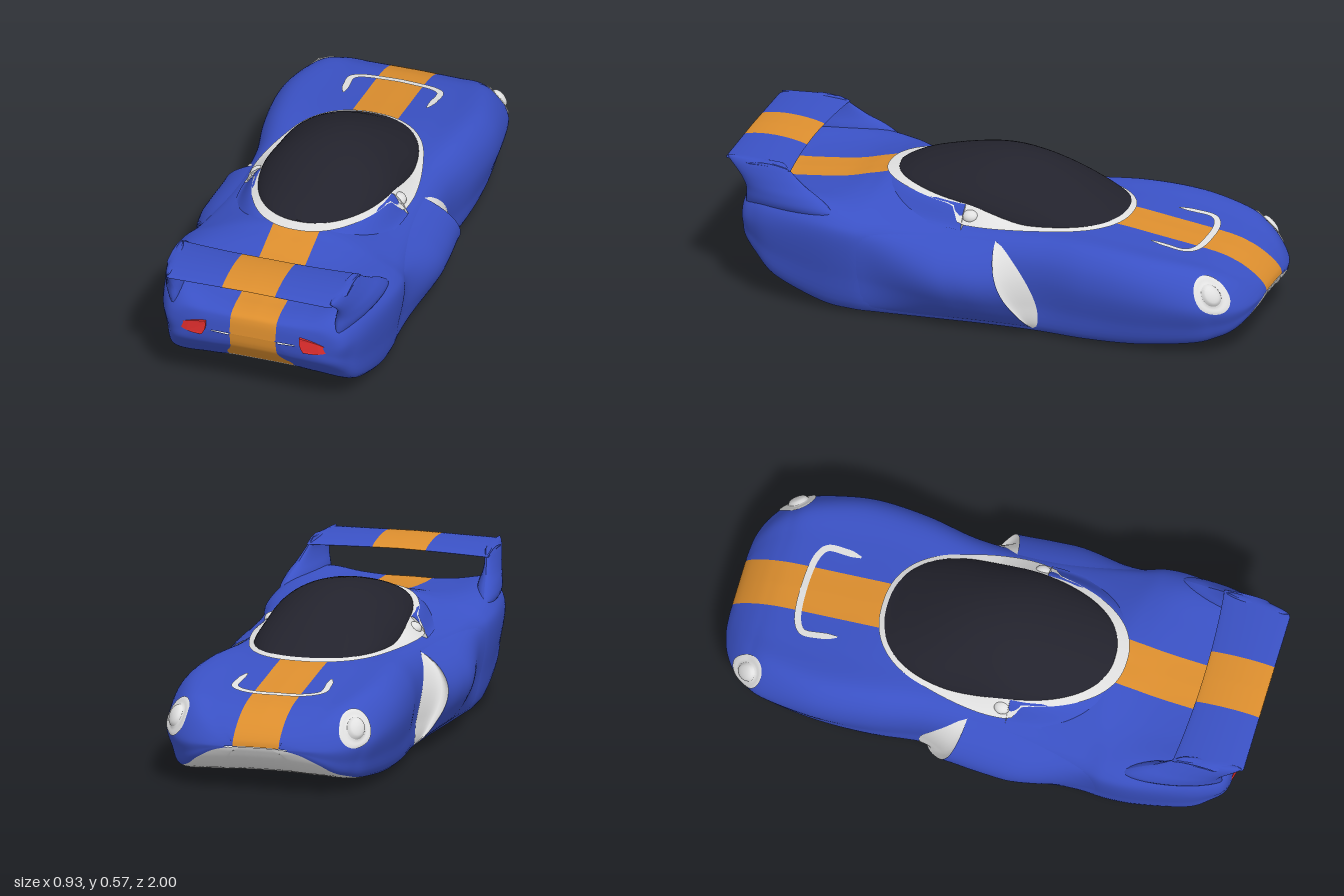
import * as THREE from 'three';

const colours = { blue: 0x3a51c4, orange: 0xdc8e2e, lightGrey: 0xe0e0e0, glassBlack: 0x23232d, red: 0xfa3434 };
const mats = Object.keys(colours).map((name) => {
  const m = new THREE.MeshStandardMaterial({ color: colours[name], side: THREE.DoubleSide });
  m.name = name;
  return m;
});
const [BLUE, ORANGE, LIGHT, BLACK, RED] = [0, 1, 2, 3, 4];
const lerp = THREE.MathUtils.lerp, smooth = THREE.MathUtils.smoothstep;
const spow = (a, p) => Math.sign(a) * Math.abs(a) ** p;

// Smooth interpolation through a list of numbers, t is a fractional index
function cr(list, t) {
  const n = list.length - 1, i = Math.min(n - 1, Math.max(0, Math.floor(t))), f = t - i;
  const b = list[i], c = list[i + 1], a = list[Math.max(0, i - 1)], d = list[Math.min(n, i + 2)];
  return b + 0.5 * f * (c - a + f * (2 * a - 5 * b + 4 * c - d + f * (3 * (b - c) + d - a)));
}
const crRows = (rows, t) => rows[0].map((_, k) => cr(rows.map((r) => r[k]), t));

// Surface from point(u, v); paint is a material index or a rule per face
function surface(name, nu, nv, point, paint) {
  const pos = [], faces = mats.map(() => []), P = [];
  for (let i = 0; i <= nu; i++) for (let j = 0; j <= nv; j++) {
    const p = point(i / nu, j / nv);
    P.push(p);
    pos.push(...p);
  }
  for (let i = 0; i < nu; i++) for (let j = 0; j < nv; j++) {
    const a = i * (nv + 1) + j, b = a + 1, c = a + nv + 1, d = c + 1;
    const midX = (P[a][0] + P[b][0] + P[c][0] + P[d][0]) / 4;
    const m = typeof paint === 'number' ? paint : paint(midX, (i + 0.5) / nu, (j + 0.5) / nv);
    faces[m].push(a, b, c, b, d, c);
  }
  const g = new THREE.BufferGeometry();
  g.setAttribute('position', new THREE.Float32BufferAttribute(pos, 3));
  g.setIndex(faces.flat());
  let start = 0;
  faces.forEach((f, m) => { if (f.length) g.addGroup(start, f.length, m); start += f.length; });
  g.computeVertexNormals();
  const mesh = new THREE.Mesh(g, typeof paint === 'number' ? mats[paint] : mats);
  mesh.name = name;
  return mesh;
}

// Body stations: z, half width, its height, bottom, bottom half width, shoulder, centre top
const stations = [
  [-1, 0.12, 0.166, 0.162, 0.1, 0.168, 0.169], [-0.993, 0.19, 0.165, 0.145, 0.165, 0.182, 0.19],
  [-0.97, 0.26, 0.163, 0.11, 0.23, 0.208, 0.217], [-0.93, 0.32, 0.168, 0.075, 0.275, 0.245, 0.248],
  [-0.88, 0.362, 0.18, 0.055, 0.31, 0.277, 0.275], [-0.8, 0.4, 0.19, 0.035, 0.34, 0.312, 0.3],
  [-0.6, 0.426, 0.21, 0.012, 0.36, 0.345, 0.332], [-0.4, 0.412, 0.22, 0.005, 0.36, 0.36, 0.36],
  [-0.2, 0.375, 0.23, 0.003, 0.34, 0.358, 0.366], [0, 0.372, 0.23, 0.003, 0.34, 0.353, 0.358],
  [0.2, 0.385, 0.25, 0.003, 0.35, 0.358, 0.405], [0.4, 0.408, 0.28, 0.003, 0.36, 0.378, 0.45],
  [0.5, 0.43, 0.3, 0.005, 0.365, 0.394, 0.435], [0.62, 0.427, 0.31, 0.02, 0.36, 0.412, 0.406],
  [0.8, 0.392, 0.31, 0.09, 0.345, 0.417, 0.386], [0.88, 0.363, 0.31, 0.16, 0.32, 0.404, 0.382],
  [0.93, 0.327, 0.305, 0.215, 0.29, 0.374, 0.37], [0.946, 0.26, 0.3, 0.247, 0.23, 0.342, 0.345],
  [0.952, 0.16, 0.292, 0.287, 0.15, 0.293, 0.292],
];
const LAST = stations.length - 1, stationZ = stations.map((r) => r[0]);

// Point on the left half of the body: t along stations, s from bottom centre (0) to top centre (10)
function bodyPoint(t, s) {
  const [z, w, yw, yb, wb, ys, yt] = crRows(stations, t);
  const nose = 1 - smooth(z, -0.95, -0.6), flare = 0.037 * smooth(z, 0.7, 0.86) * (1 - smooth(z, 0.86, 0.95));
  const xs = [0, 0.088 + flare, wb * 0.6, wb, lerp(wb, w, 0.65), w, w * (0.95 - 0.05 * nose), w * (0.8 - 0.06 * nose), w * 0.52, 0.088, 0];
  const h = [yb + 0.006, yb + 0.005, yb, yb + 0.003, lerp(yb, yw, 0.5), yw, lerp(yw, ys, 0.62), ys, lerp(ys, yt, 0.6), yt, yt + 0.001];
  return [cr(xs, s), cr(h, s), z];
}
function bisect(f, a, b) {
  for (let i = 0; i < 30; i++) { const m = (a + b) / 2; if (f(m) < 0) a = m; else b = m; }
  return (a + b) / 2;
}
const stationAt = (z) => bisect((t) => cr(stationZ, t) - z, 0, LAST);
// Body half width on the flank at a given height
function flankX(y, z) {
  const t = stationAt(z);
  return bodyPoint(t, bisect((s) => bodyPoint(t, s)[1] - y, 3, 7))[0];
}
// Body point lifted along its normal
function lifted(t, s, lift) {
  const v = (a, b) => new THREE.Vector3(...bodyPoint(a, b)), e = 0.02;
  const n = v(t, s + e).sub(v(t, s - e)).cross(v(t + e, s).sub(v(t - e, s))).normalize();
  return v(t, s).addScaledVector(n, lift).toArray();
}

// Canopy ridge heights, evenly spaced from z = -0.45 to 0.43, base height and outline
const RIDGE = [0.372, 0.422, 0.473, 0.516, 0.546, 0.56, 0.558, 0.545, 0.525, 0.5, 0.466];
const canopyBase = (z) => 0.376 + 0.054 * smooth(z, -0.15, 0.12) + 0.03 * smooth(z, 0.08, 0.43);
function outline(a, grow = 0) {
  const c = spow(Math.cos(a), 0.87), s = spow(Math.sin(a), 0.87);
  return [(0.26 + grow) * c, -0.08 + s * (s < 0 ? 0.36 + grow * 0.9 : 0.505 + grow * 2.5)];
}

export function createModel() {
  const car = new THREE.Group();
  car.name = 'sportsCar';
  const add = (...args) => car.add(surface(...args));

  // Main body shell; the pale underside ends on a curve that rises to the tail centre
  const SPLIT = 0.75;
  add('bodyShell', LAST * 8, 120, (u, v) => {
    const s = 20 * Math.min(v, 1 - v), edge = stationAt(0.85 - 0.25 * smooth(s, 0.9, 3));
    const t = u < SPLIT ? (u / SPLIT) * edge : lerp(edge, LAST, (u - SPLIT) / (1 - SPLIT));
    const p = bodyPoint(t, s);
    return v > 0.5 ? [-p[0], p[1], p[2]] : p;
  }, (x, u, v) => {
    const s = 20 * Math.min(v, 1 - v);
    if (s < 3 && u < SPLIT) return LIGHT;
    return s < 1 || s > 9 ? ORANGE : BLUE;
  });

  // Dark canopy dome
  add('canopy', 48, 40, (u, v) => {
    const [h, z] = outline(-Math.PI / 2 + Math.PI * u), f = Math.PI * (v - 0.5), b = canopyBase(z);
    const top = Math.max(b, cr(RIDGE, (z + 0.45) / 0.088));
    return [-Math.max(0, h) * Math.sin(f), b + (top - b) * Math.max(0, Math.cos(f)) ** 1.45, z];
  }, BLACK);

  // Pale frame round the canopy, wider at the side vents
  add('canopyFrame', 120, 4, (u, v) => {
    const a = Math.PI * 2 * u, [xi, zi] = outline(a, -0.004), [xo, zo] = outline(a, 0.018);
    const rear = smooth(zi, 0.09, 0.13), wide = 0.036 * smooth(zi, -0.25, 0.05) * (1 - rear);
    const yi = canopyBase(zi) + 0.003, yo = lerp(0.369, yi - 0.008, rear);
    return [lerp(xi, xo + Math.sign(xo) * wide, v), lerp(yi, yo, v), lerp(zi, zo, v)];
  }, LIGHT);

  // Raised deck wrapping the rear of the cabin
  add('cabinCollar', 96, 10, (u, v) => {
    const a = Math.PI * u, c = Math.cos(a), s = Math.sin(a), f = v * v * (3 - 2 * v);
    return [lerp(0.25, 0.315, v) * spow(c, 0.87), lerp(0.428 + 0.022 * s, 0.352 + 0.04 * s, f), 0.1 + lerp(0.335, 0.5, v) * s];
  }, (x) => (Math.abs(x) < 0.09 ? ORANGE : BLUE));

  // Spoiler wing
  add('spoilerWing', 68, 28, (u, v) => {
    const x = lerp(-0.345, 0.345, u), k = Math.abs(x) / 0.345, f = Math.PI * 2 * v;
    const zf = 0.76 - 0.02 * k * k, zr = 1 - 0.1 * smooth(k, 0.9, 1), c = (1 - Math.cos(f)) / 2;
    const y = 0.51 + 0.014 * Math.sin(c * Math.PI * 0.75) + 0.005 * (1 - k);
    return [x, y + (0.011 - 0.006 * smooth(k, 0.92, 1)) * Math.sin(f), lerp(zf, zr, c)];
  }, (x) => (Math.abs(x) < 0.1 ? ORANGE : BLUE));

  // Spoiler fins, rows: y, front x, front z, rear x, rear z, half thickness
  const fin = [[0.33, 0.37, 0.52, 0.31, 0.92, 0.02], [0.38, 0.382, 0.56, 0.315, 0.92, 0.044], [0.42, 0.372, 0.61, 0.32, 0.918, 0.042], [0.455, 0.358, 0.67, 0.325, 0.93, 0.03],
    [0.49, 0.345, 0.72, 0.325, 0.955, 0.021], [0.515, 0.335, 0.75, 0.318, 0.98, 0.018], [0.53, 0.328, 0.77, 0.312, 0.992, 0.012], [0.533, 0.322, 0.79, 0.312, 0.985, 0]];

  for (const side of [1, -1]) {
    const label = side > 0 ? 'left' : 'right';
    const half = (name, nu, nv, fn, paint) => add(label + name, nu, nv, (u, v) => {
      const p = fn(u, v);
      return [p[0] * side, p[1], p[2]];
    }, paint);

    half('SpoilerFin', 28, 28, (u, v) => {
      const [y, xf, zf, xr, zr, th] = crRows(fin, u * (fin.length - 1)), f = Math.PI * 2 * v, c = (1 - Math.cos(f)) / 2;
      return [lerp(xf, xr, c) + th * Math.sin(f), y, lerp(zf, zr, c)];
    }, BLUE);

    // Flared side pod, open towards the nose, fading into the rear flank
    const bulge = (v) => Math.max(0, Math.sin(Math.PI * v)) ** 0.85;
    const pod = (u, v) => {
      const y = 0.018 + 0.317 * v, z = lerp(lerp(-0.19, -0.04, v) + 0.02 * bulge(v), 0.5, u);
      const swell = 0.092 * (0.92 + 0.08 * smooth(u, 0, 0.25)) * (1 - smooth(u, 0.35, 1));
      return [flankX(y, z) - 0.002 + bulge(v) * swell, y, z];
    };
    half('SidePod', 32, 28, pod, BLUE);
    half('SideIntake', 8, 24, (u, v) => {
      const [x, y, z] = pod(0, v), b = Math.max(0, Math.sin(Math.PI * v)) ** 0.6, zf = z - 0.09 * b;
      return [lerp(x, flankX(y, zf) + 0.002, u), y, lerp(z, zf, u) + 0.05 * b * Math.sin(Math.PI * u)];
    }, LIGHT);

    // Pale vent face and small scoop at the front of the collar
    half('CabinVent', 4, 4, (u, v) => [lerp(0.245, 0.315, u), lerp(0.352, lerp(0.43, 0.352, u * u), v), 0.099], LIGHT);
    const scoop = new THREE.Mesh(new THREE.SphereGeometry(1, 20, 12), mats[LIGHT]);
    scoop.name = label + 'VentScoop';
    scoop.scale.set(0.03, 0.025, 0.032);
    scoop.position.set(side * 0.268, 0.39, 0.075);
    car.add(scoop);

    // Headlights lying on the front corners
    const lamp = (name, r0, r1, lift) => half(name, 6, 40, (u, v) => {
      const r = lerp(r0, r1, u), a = Math.PI * 2 * v;
      const t = stationAt(-0.87 + 0.06 * r * Math.cos(a));
      return lifted(t, 5.85 + r * (0.95 * Math.sin(a) + 0.3 * Math.cos(a)), lift(r));
    }, LIGHT);
    lamp('HeadlightRim', 0.54, 1, (r) => 0.004 - 0.003 * smooth(r, 0.5, 0.65) + 0.003 * smooth(r, 0.65, 0.9));
    lamp('HeadlightLens', 0, 0.56, (r) => 0.002 + 0.018 * Math.sqrt(Math.max(0, 1 - (r / 0.56) ** 2)));

    // Tail lights, bent round the rear corners
    const shape = new THREE.Shape();
    shape.moveTo(0.3 * side, 0.287);
    shape.quadraticCurveTo(0.25 * side, 0.322, 0.18 * side, 0.33);
    shape.quadraticCurveTo(0.175 * side, 0.295, 0.195 * side, 0.27);
    shape.quadraticCurveTo(0.26 * side, 0.262, 0.3 * side, 0.287);
    const lightGeo = new THREE.ExtrudeGeometry(shape, { depth: 0.05, bevelEnabled: false, curveSegments: 12 });
    const p = lightGeo.attributes.position;
    for (let i = 0; i < p.count; i++) p.setZ(i, p.getZ(i) + 0.908 - 1.3 * (Math.abs(p.getX(i)) - 0.17) ** 2);
    lightGeo.computeVertexNormals();
    const tail = new THREE.Mesh(lightGeo, mats[RED]);
    tail.name = label + 'TailLight';
    car.add(tail);
  }

  // Pale U-shaped vent edge on the nose lid
  const path = new THREE.CatmullRomCurve3([[-0.16, -0.58], [-0.168, -0.64], [-0.168, -0.71], [-0.13, -0.738], [0, -0.752],
    [0.13, -0.738], [0.168, -0.71], [0.168, -0.64], [0.16, -0.58]].map(([x, z]) => new THREE.Vector3(x, 0, z)));
  add('noseVent', 60, 2, (u, v) => {
    const q = path.getPoint(u), d = path.getTangent(u), k = (v - 0.5) * 0.025 * smooth(Math.min(u, 1 - u), -0.05, 0.1);
    const x = q.x - d.z * k, t = stationAt(q.z + d.x * k);
    const s = bisect((w) => Math.abs(x) - bodyPoint(t, w)[0], 6, 10);
    const [, y, z] = lifted(t, Math.min(s, 9.95), 0.005);
    return [x, y, z];
  }, LIGHT);

  return car;
}
